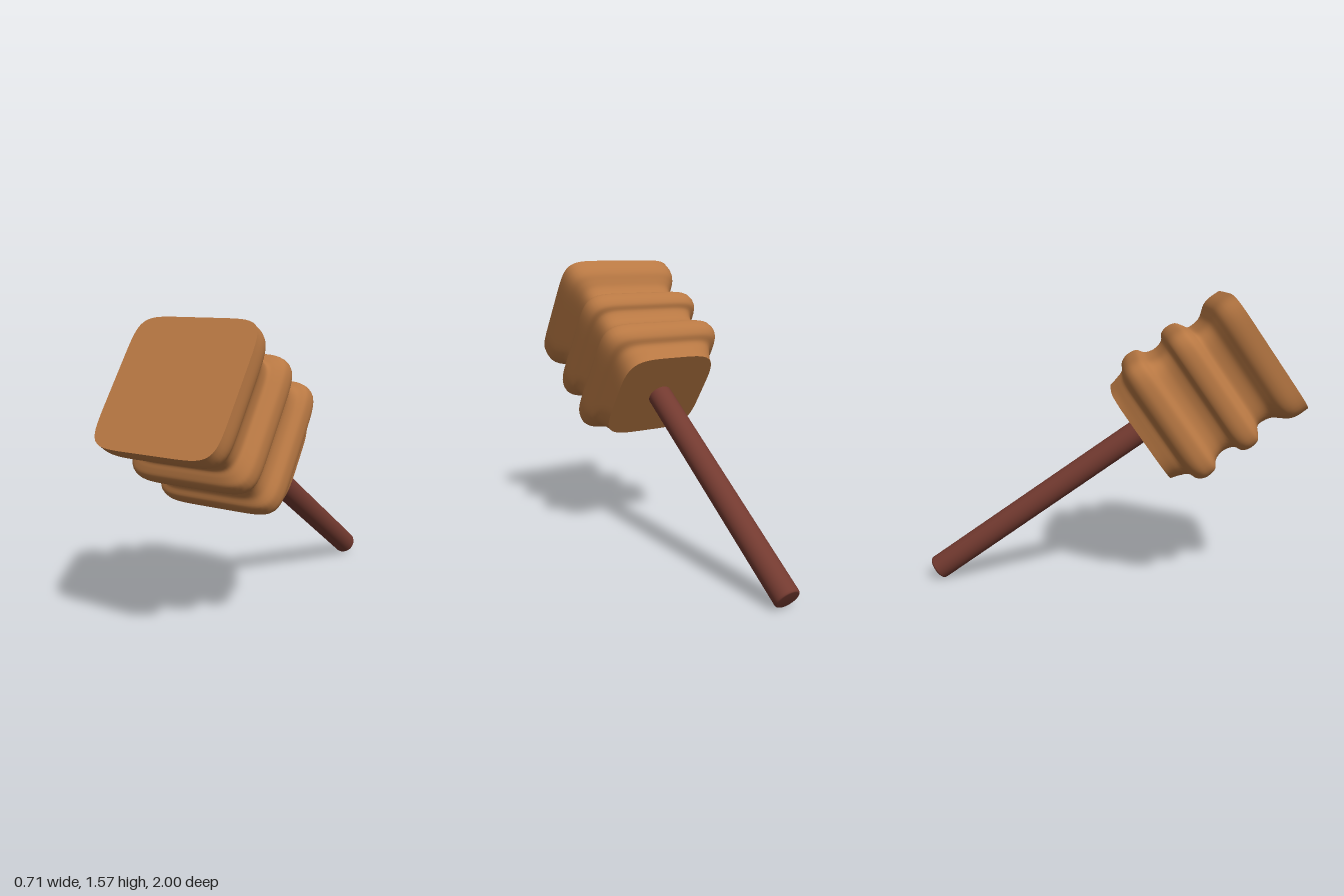
import * as THREE from 'three';

const SIDES = 128;

// Squarish ring (superellipse) of half width r at height y
function ring(r, y, n) {
  const pts = [];
  for (let i = 0; i < SIDES; i++) {
    const a = (i / SIDES) * Math.PI * 2, c = Math.cos(a), s = Math.sin(a);
    const k = r / Math.pow(Math.abs(c) ** n + Math.abs(s) ** n, 1 / n);
    pts.push(k * c, y, k * s);
  }
  return pts;
}

// Joins rings with smooth walls and closes both ends with flat, hard-edged caps
function loft(rings) {
  const pos = rings.flat(), index = [];
  for (let j = 0; j < rings.length - 1; j++) {
    for (let i = 0; i < SIDES; i++) {
      const a = j * SIDES + i, b = j * SIDES + ((i + 1) % SIDES);
      index.push(a, a + SIDES, b, b, a + SIDES, b + SIDES);
    }
  }
  for (const [cap, up] of [[rings[0], false], [rings[rings.length - 1], true]]) {
    const base = pos.length / 3;
    pos.push(...cap, 0, cap[1], 0);
    for (let i = 0; i < SIDES; i++) {
      const a = base + i, b = base + ((i + 1) % SIDES);
      index.push(base + SIDES, up ? b : a, up ? a : b);
    }
  }
  const g = new THREE.BufferGeometry();
  g.setAttribute('position', new THREE.Float32BufferAttribute(pos, 3));
  g.setIndex(index);
  g.computeVertexNormals();
  return g;
}

export function createModel() {
  const model = new THREE.Group();
  model.name = 'mallet';

  // Everything is built upright along y, then tilted
  const mallet = new THREE.Group();
  mallet.name = 'tiltedMallet';
  mallet.position.set(0, 0.055, -0.965);
  mallet.rotation.x = THREE.MathUtils.degToRad(55);
  model.add(mallet);

  // Head: ridged profile of half width and height along the handle
  const profile = [
    [0.28, 1.376], [0.289, 1.425], [0.302, 1.468], [0.335, 1.49], [0.353, 1.525],
    [0.355, 1.56], [0.346, 1.598], [0.315, 1.625], [0.301, 1.66], [0.299, 1.695],
    [0.313, 1.741], [0.341, 1.76], [0.354, 1.79], [0.355, 1.825], [0.346, 1.857],
    [0.318, 1.88], [0.292, 1.898], [0.288, 1.935], [0.296, 1.978], [0.318, 2.012],
    [0.341, 2.045], [0.352, 2.085], [0.352, 2.154],
  ];
  const curve = new THREE.CatmullRomCurve3(profile.map(([r, y]) => new THREE.Vector3(r, y, 0)));
  const rings = curve.getPoints(88).map(({ x, y }) => {
    const t = THREE.MathUtils.smoothstep(y, 1.376, 1.52);
    return ring(x, y, THREE.MathUtils.lerp(4.5, 7, t));
  });
  const head = new THREE.Mesh(loft(rings), new THREE.MeshStandardMaterial({ color: 0xb87843 }));
  head.name = 'head';
  mallet.add(head);

  // Handle: round rod with softened end
  const rod = [[0, 0], [0.058, 0], [0.064, 0.004], [0.067, 0.012], [0.067, 1.5], [0, 1.5]];
  const handle = new THREE.Mesh(
    new THREE.LatheGeometry(rod.map(([r, y]) => new THREE.Vector2(r, y)), 40),
    new THREE.MeshStandardMaterial({ color: 0x733a30 }),
  );
  handle.name = 'handle';
  mallet.add(handle);

  return model;
}
